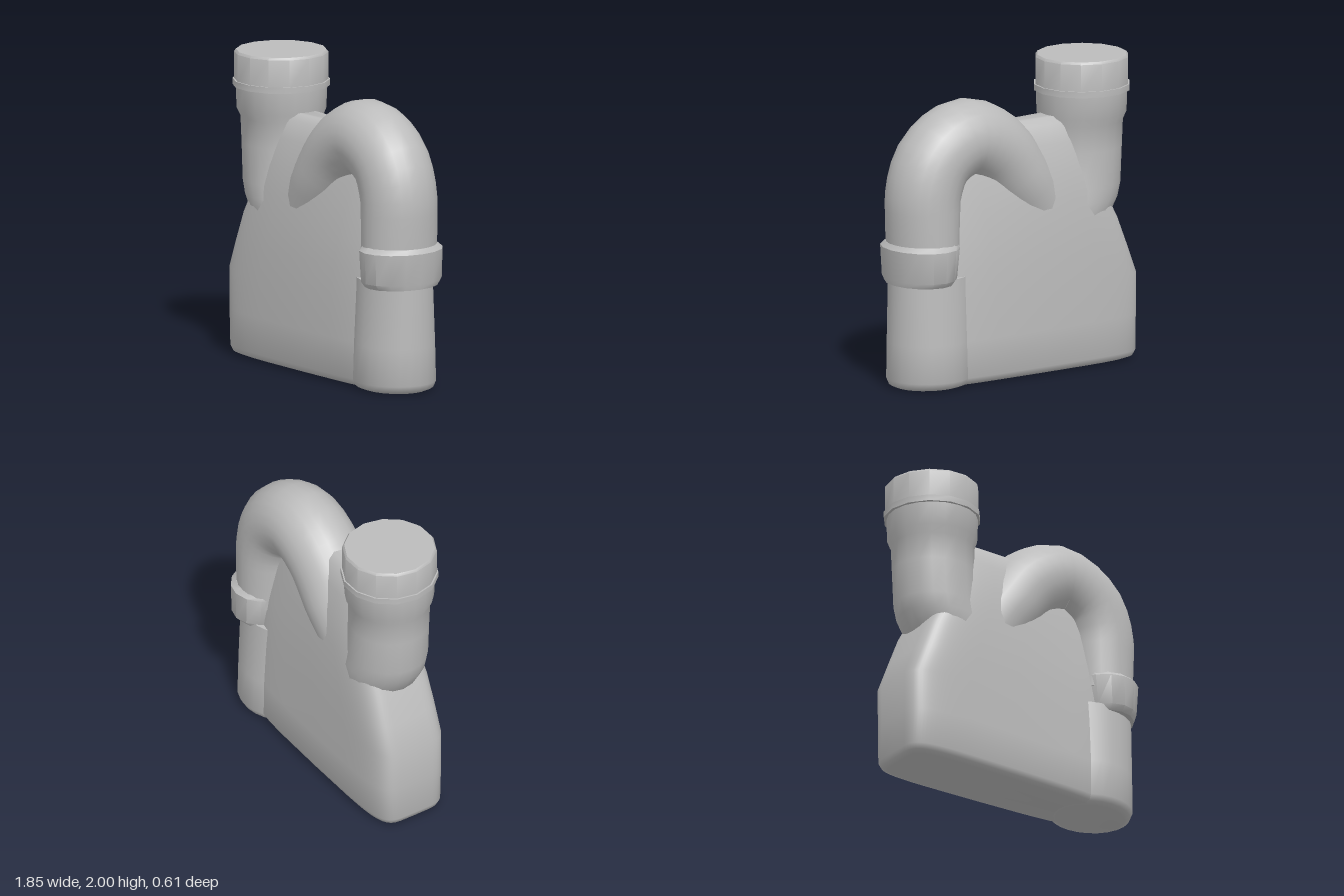
import * as THREE from 'three';
import { toCreasedNormals } from 'three/addons/utils/BufferGeometryUtils.js';

// Skin a closed, capped surface over rings; point(row, angle) gives each vertex.
function loft(rows, sides, point, crease = 0.7) {
  const pos = [], idx = [];
  for (const row of rows) {
    for (let j = 0; j < sides; j++) pos.push(...point(row, (j / sides) * Math.PI * 2));
  }
  const last = (rows.length - 1) * sides;
  for (let i = 0; i < rows.length - 1; i++) {
    for (let j = 0; j < sides; j++) {
      const k = (j + 1) % sides, a = i * sides + j, b = i * sides + k;
      idx.push(a, a + sides, b, b, a + sides, b + sides);
    }
  }
  for (let j = 1; j < sides - 1; j++) {
    idx.push(0, j, j + 1, last, last + j + 1, last + j);
  }
  const g = new THREE.BufferGeometry();
  g.setAttribute('position', new THREE.Float32BufferAttribute(pos, 3));
  g.setIndex(idx);
  return toCreasedNormals(g, crease);
}

// Upright elliptical ring: [y, centre x, radius x, radius z]
const ellipse = ([y, cx, rx, rz], a) => [cx + rx * Math.cos(a), y, rz * Math.sin(a)];

// Rounded slab ring: [y, left x, right x, half depth at left, half depth at right]
function slab([y, x0, x1, d0, d1], a) {
  const soft = (v) => Math.sign(v) * Math.pow(Math.abs(v), 0.33);
  const u = (soft(Math.cos(a)) + 1) / 2;
  const depth = d0 + (d1 - d0) * u * u;
  return [x0 + (x1 - x0) * u, y, depth * soft(Math.sin(a))];
}

export function createModel() {
  const group = new THREE.Group();
  const grey = new THREE.MeshStandardMaterial({ color: 0xbcbcbc });
  grey.name = 'grey plastic';
  const add = (name, geometry) => {
    const mesh = new THREE.Mesh(geometry, grey);
    mesh.name = name;
    group.add(mesh);
  };

  // Flat tank that thins into a web below the arch
  add('tank', loft([
    [0.01, -0.87, 0.62, 0.21, 0.17],
    [0.025, -0.905, 0.65, 0.245, 0.2],
    [0.06, -0.92, 0.66, 0.26, 0.22],
    [0.3, -0.92, 0.66, 0.268, 0.21],
    [0.57, -0.92, 0.66, 0.27, 0.19],
    [0.76, -0.845, 0.66, 0.268, 0.17],
    [0.95, -0.77, 0.66, 0.26, 0.14],
    [1.12, -0.68, 0.66, 0.245, 0.1],
    [1.3, -0.6, 0.62, 0.22, 0.07],
    [1.48, -0.55, 0.55, 0.17, 0.05],
    [1.6, -0.5, 0.4, 0.12, 0.04],
    [1.635, -0.45, 0.2, 0.07, 0.03],
  ], 64, slab, 1.0));

  // Round leg below the collar
  add('leg', loft([
    [0.005, 0.62, 0.23, 0.2],
    [0.02, 0.62, 0.265, 0.24],
    [0.06, 0.62, 0.28, 0.26],
    [0.3, 0.62, 0.28, 0.25],
    [0.72, 0.62, 0.28, 0.225],
  ], 24, ellipse, 1.0));

  // Collar at the foot of the pipe
  add('collar', loft([
    [0.685, 0.695, 0.205, 0.25],
    [0.72, 0.695, 0.212, 0.28],
    [0.92, 0.69, 0.235, 0.285],
    [0.95, 0.68, 0.222, 0.25],
  ], 16, ellipse));

  // Arched pipe, merging into the tank at its far end
  const path = new THREE.CatmullRomCurve3([
    [0.67, 0.85], [0.67, 1.1], [0.66, 1.28], [0.57, 1.47], [0.34, 1.58],
    [0.11, 1.48], [-0.06, 1.28], [-0.2, 1.08], [-0.28, 0.93],
  ].map(([x, y]) => new THREE.Vector3(x, y, 0)));
  const steps = Array.from({ length: 25 }, (_, i) => i / 24);
  add('archPipe', loft(steps, 24, (t, a) => {
    const p = path.getPointAt(t), d = path.getTangentAt(t);
    const bend = Math.sin(Math.PI * Math.min(t * 1.1, 1));
    const r = (0.222 + 0.028 * bend) * Math.cos(a);
    const depth = t > 0.8 ? 0.25 - (t - 0.8) * 0.2 : 0.25;
    return [p.x + d.y * r, p.y - d.x * r, depth * Math.sin(a)];
  }, 1.0));

  // Filler neck, flaring out of the tank
  add('neck', loft([
    [0.82, -0.46, 0.2, 0.2],
    [0.95, -0.51, 0.26, 0.245],
    [1.07, -0.56, 0.28, 0.255],
    [1.16, -0.59, 0.272, 0.255],
    [1.4, -0.605, 0.268, 0.255],
    [1.57, -0.61, 0.27, 0.26],
    [1.62, -0.613, 0.288, 0.285],
    [1.78, -0.613, 0.293, 0.293],
  ], 20, ellipse, 1.0));

  // Lip ring and flat lid
  add('lipRing', loft([
    [1.77, -0.615, 0.312, 0.312],
    [1.81, -0.615, 0.312, 0.312],
  ], 14, ellipse));
  add('lid', loft([
    [1.8, -0.615, 0.302, 0.302],
    [1.985, -0.615, 0.302, 0.302],
    [2.0, -0.615, 0.29, 0.29],
  ], 14, ellipse));

  return group;
}
